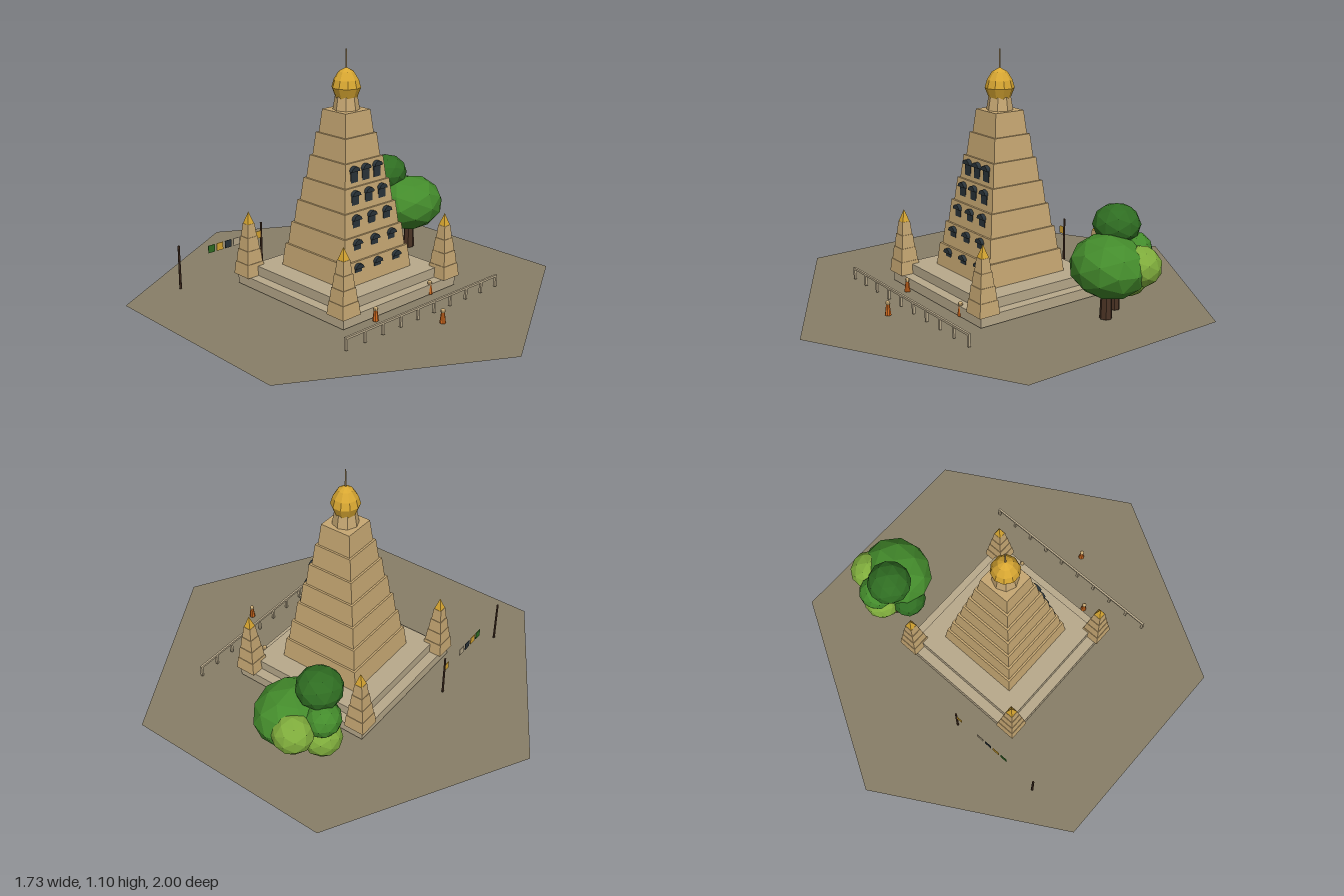
import * as THREE from 'three';

function paint(name, color, side = THREE.FrontSide) {
  const m = new THREE.MeshStandardMaterial({ color, flatShading: true, side });
  m.name = name;
  return m;
}

export function createModel() {
  const root = new THREE.Group();
  root.name = 'templeScene';
  const earth = paint('earth', 0x887f68, THREE.DoubleSide);
  const paving = paint('paving', 0xb9aa8c);
  const sandstone = paint('sandstone', 0xc7a873);
  const gold = paint('gold', 0xd8a732);
  const slate = paint('slate', 0x2a343a);
  const bark = paint('bark', 0x4a3324);
  const darkLeaf = paint('darkLeaf', 0x2f6d22);
  const midLeaf = paint('midLeaf', 0x448c2c);
  const lightLeaf = paint('lightLeaf', 0x7fac3c);
  const robe = paint('robe', 0xd0691e);
  const FLOOR = 0.008;

  function add(name, geo, mat, x = 0, y = 0, z = 0, parent = root) {
    const m = new THREE.Mesh(geo, mat);
    m.name = name;
    m.position.set(x, y, z);
    parent.add(m);
    return m;
  }
  function group(name, x = 0, y = 0, z = 0) {
    const g = new THREE.Group();
    g.name = name;
    g.position.set(x, y, z);
    root.add(g);
    return g;
  }
  const box = (w, h, d) => new THREE.BoxGeometry(w, h, d);
  // Square frustum standing on y = 0, sizes are half widths
  const frustum = (bottom, top, h) =>
    new THREE.CylinderGeometry(top * Math.SQRT2, bottom * Math.SQRT2, h, 4)
      .rotateY(Math.PI / 4).translate(0, h / 2, 0);

  // Hexagonal ground
  add('ground', new THREE.CircleGeometry(1, 6).rotateZ(Math.PI / 6).rotateX(-Math.PI / 2), earth);

  // Stepped platform
  add('lowerPlatform', box(0.705, 0.047, 0.705), paving, 0, FLOOR + 0.0235, 0);
  add('upperPlatform', box(0.61, 0.045, 0.61), paving, 0, 0.0775, 0);

  // Main tower of seven tapering tiers
  const tower = group('tower');
  const tierH = 0.105;
  for (let i = 0; i < 7; i++) {
    const w = 0.208 - 0.0203 * i;
    const y = 0.1 + tierH * i;
    add('towerTier', frustum(w, w - 0.011, tierH), sandstone, 0, y, 0, tower);
    if (i > 4) continue;
    // Three arched niches on the front of each lower tier
    const bottom = 0.157 + 0.0953 * i;
    const spring = 0.176 + 0.1035 * i;
    const face = w - 0.011 * (bottom - y) / tierH;
    for (const s of [-1, 0, 1]) {
      const x = s * (0.118 - 0.012 * i);
      add('nichePanel', box(0.042, spring - bottom, 0.03), slate,
        x, (bottom + spring) / 2, face - 0.014, tower);
      const arch = new THREE.CylinderGeometry(0.024, 0.024, 0.04, 8, 1, false, 0, Math.PI)
        .rotateZ(Math.PI / 2).rotateY(Math.PI / 2);
      const hood = add('nicheArch', archUp(arch), slate, x, spring, face - 0.008, tower);
      hood.scale.y = 0.9;
    }
  }
  // Half cylinder with its round side up, running along z
  function archUp() {
    const s = new THREE.Shape();
    s.absarc(0, 0, 0.024, 0, Math.PI, false);
    s.closePath();
    return new THREE.ExtrudeGeometry(s, { depth: 0.04, bevelEnabled: false, curveSegments: 6 })
      .translate(0, 0, -0.02);
  }

  // Neck, golden dome and spire
  add('neck', new THREE.CylinderGeometry(0.05, 0.06, 0.06, 8), sandstone, 0, 0.865, 0, tower);
  const dome = [[0, 0.885], [0.047, 0.885], [0.066, 0.933], [0.056, 0.968], [0.034, 1.003], [0, 1.022]];
  add('dome', new THREE.LatheGeometry(dome.map(p => new THREE.Vector2(...p)), 10), gold, 0, 0, 0, tower);
  add('spire', new THREE.CylinderGeometry(0.003, 0.004, 0.085, 6), sandstone, 0, 1.06, 0, tower);

  // Corner turrets
  for (const sx of [-1, 1]) for (const sz of [-1, 1]) {
    const t = group('cornerTurret', sx * 0.315, 0.055, sz * 0.315);
    for (let i = 0; i < 4; i++) {
      const w = 0.051 - 0.0085 * i;
      add('turretTier', frustum(w, w - 0.006, 0.061), sandstone, 0, 0.061 * i, 0, t);
    }
    add('turretTip', frustum(0.019, 0.0005, 0.058), gold, 0, 0.241, 0, t);
  }

  // Tree: trunks and faceted leaf clumps
  const tree = group('tree');
  for (const [x, z, r] of [[0.515, -0.24, 0.024], [0.572, -0.14, 0.028]])
    add('trunk', new THREE.CylinderGeometry(r * 0.75, r, 0.2, 7), bark, x, FLOOR + 0.1, z, tree);
  const clumps = [
    [midLeaf, 0.575, 0.24, -0.145, 0.18, 0.137, 0.16],
    [darkLeaf, 0.51, 0.39, -0.245, 0.105, 0.092, 0.105],
    [lightLeaf, 0.675, 0.25, -0.23, 0.092, 0.09, 0.095],
    [lightLeaf, 0.55, 0.16, -0.285, 0.09, 0.09, 0.09],
    [midLeaf, 0.56, 0.28, -0.3, 0.085, 0.08, 0.08],
    [darkLeaf, 0.45, 0.17, -0.2, 0.078, 0.08, 0.085],
  ];
  clumps.forEach(([mat, x, y, z, rx, ry, rz], i) => {
    const geo = new THREE.IcosahedronGeometry(1, 1).rotateY(i * 0.9).scale(rx, ry, rz);
    add('leafClump', geo, mat, x, y, z, tree);
  });

  // Railing in front
  const fence = group('railing', 0, 0, 0.495);
  add('rail', box(0.955, 0.01, 0.01), paving, 0, 0.06, 0, fence);
  for (let i = 0; i < 10; i++)
    add('railPost', box(0.011, 0.05, 0.011), paving, -0.472 + 0.1049 * i, FLOOR + 0.025, 0, fence);

  // Robed visitors
  for (const [x, z] of [[-0.19, 0.38], [0.19, 0.345], [0, 0.59]]) {
    const v = group('visitor', x, FLOOR, z);
    add('robe', new THREE.CylinderGeometry(0.008, 0.014, 0.048, 8), robe, 0, 0.024, 0, v);
    add('head', new THREE.SphereGeometry(0.011, 8, 6), sandstone, 0, 0.054, 0, v);
  }

  // Poles and hanging flags at the back
  const flags = group('flagLine', 0, 0, -0.478);
  for (const x of [-0.59, -0.115])
    add('pole', new THREE.CylinderGeometry(0.005, 0.006, 0.207, 6), bark, x, FLOOR + 0.1035, 0, flags);
  [[darkLeaf, -0.41], [gold, -0.362], [slate, -0.314], [paving, -0.265], [gold, -0.13]]
    .forEach(([mat, x]) => add('flag', box(0.036, 0.036, 0.003), mat, x, 0.155, 0, flags));

  return root;
}
